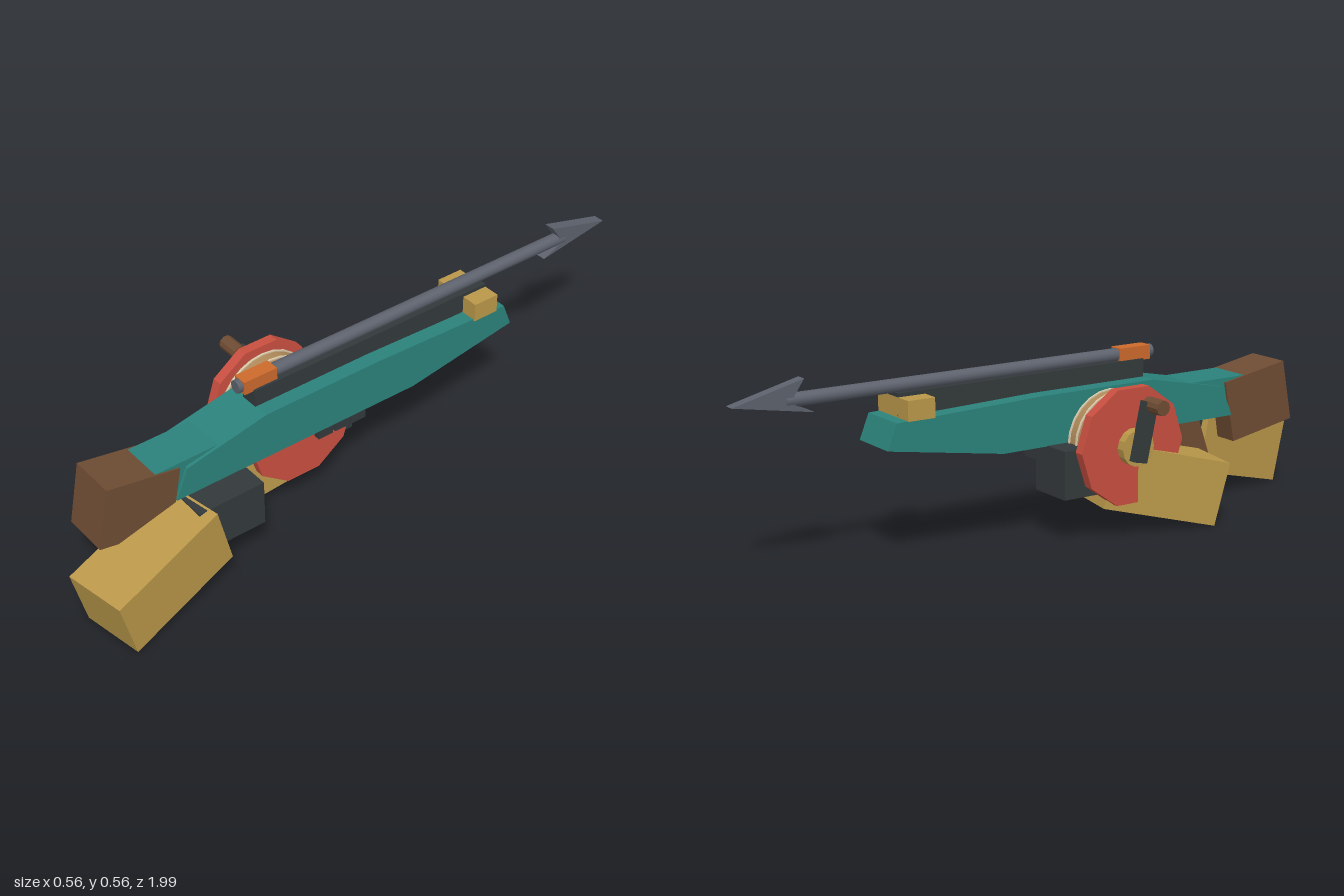
import * as THREE from 'three';

const mat = (name, color) => {
  const m = new THREE.MeshStandardMaterial({ color, flatShading: true });
  m.name = name;
  return m;
};

export function createModel() {
  const teal = mat('teal', 0x2b827b), brown = mat('brown', 0x6e4c33), gold = mat('gold', 0xba984a);
  const dark = mat('charcoal', 0x33393b), red = mat('red', 0xc94f40), tan = mat('rope tan', 0xb08a5a);
  const cream = mat('cream', 0xdccbac), steel = mat('steel', 0x5c616c), orange = mat('orange', 0xcc6a2c);
  const smoothTan = tan, root = new THREE.Group();
  smoothTan.flatShading = steel.flatShading = cream.flatShading = false;

  const add = (name, geo, m) => {
    const mesh = new THREE.Mesh(geo, m);
    mesh.name = name;
    root.add(mesh);
    return mesh;
  };
  // Box from its limits on each axis
  const box = (name, m, x0, x1, y0, y1, z0, z1) =>
    add(name, new THREE.BoxGeometry(x1 - x0, y1 - y0, z1 - z0)
      .translate((x0 + x1) / 2, (y0 + y1) / 2, (z0 + z1) / 2), m);
  // Side profile of [z, y] points, extruded across x
  const slab = (name, m, x0, x1, pts) => {
    const shape = new THREE.Shape(pts.map(p => new THREE.Vector2(...p)));
    const geo = new THREE.ExtrudeGeometry(shape, { depth: x1 - x0, bevelEnabled: false });
    return add(name, geo.rotateY(-Math.PI / 2).translate(x1, 0, 0), m);
  };
  // Disc or rod lying along x
  const disc = (name, m, r, x0, x1, y, z, sides) =>
    add(name, new THREE.CylinderGeometry(r, r, x1 - x0, sides)
      .rotateZ(Math.PI / 2).translate((x0 + x1) / 2, y, z), m);

  // Body, neck, stock and grip
  slab('body', teal, -0.06, 0.1, [[0.65, 0.285], [0.61, 0.38], [0.34, 0.435], [-0.055, 0.435],
    [-0.54, 0.42], [-0.57, 0.345], [-0.19, 0.283]]);
  box('neck', teal, -0.045, 0.09, 0.3, 0.402, 0.42, 0.75);
  slab('stock', brown, -0.052, 0.095, [[0.863, 0.43], [0.63, 0.388], [0.667, 0.197], [0.9, 0.24]]);
  slab('grip', brown, -0.036, 0.052, [[0.61, 0.085], [0.53, 0.31], [0.4, 0.31], [0.49, 0.04]]);

  // Rail and front sight block
  box('rail', dark, -0.007, 0.052, 0.425, 0.49, -0.505, 0.345);
  box('frontBlock', gold, -0.062, 0.106, 0.42, 0.479, -0.505, -0.418);

  // Harpoon
  add('harpoonShaft', new THREE.CylinderGeometry(0.02, 0.02, 1.23, 16)
    .rotateX(Math.PI / 2).translate(0.022, 0.507, -0.225), steel);
  slab('harpoonHead', steel, 0.005, 0.04, [[-1, 0.51], [-0.785, 0.565], [-0.815, 0.522],
    [-0.815, 0.495], [-0.755, 0.468]]);
  box('harpoonCollar', orange, 0, 0.045, 0.485, 0.528, 0.263, 0.375);

  // Reel
  const ry = 0.278, rz = 0.18;
  disc('reelOuterFlange', red, 0.182, -0.18, -0.148, ry, rz, 10);
  disc('reelInnerFlange', red, 0.182, 0.02, 0.05, ry, rz, 10);
  disc('reelDrum', smoothTan, 0.149, -0.148, 0.02, ry, rz, 24);
  for (const x of [-0.14, -0.104, -0.068, -0.032, 0.004])
    disc('ropeRing', cream, 0.153, x - 0.003, x + 0.003, ry, rz, 24);

  // Crank
  disc('crankHub', gold, 0.056, -0.207, -0.18, ry, rz, 14);
  const arm = add('crankArm', new THREE.BoxGeometry(0.025, 0.18, 0.048), dark);
  arm.position.set(-0.218, 0.327, 0.19);
  arm.rotation.x = 0.22;
  disc('crankHandle', brown, 0.023, -0.281, -0.21, 0.406, 0.212, 10);

  // Forearms: sloping boxes placed by the centre of their elbow face
  const forearm = (name, x, z, yaw) => {
    const g = new THREE.BoxGeometry(0.198, 0.196, 0.383).translate(0, 0, -0.1915);
    const f = add(name, g, gold);
    f.rotation.set(0.256, yaw, 0, 'YXZ');
    f.position.set(x, 0.095, z);
  };
  forearm('leftForearm', 0.177, 0.953, 0.175);
  forearm('rightForearm', -0.132, 0.497, -0.175);

  // Hands
  box('leftHand', dark, 0.04, 0.185, 0.14, 0.285, 0.418, 0.635);
  box('rightHand', dark, -0.148, 0, 0.14, 0.285, -0.04, 0.17);
  for (const z of [-0.033, 0.027, 0.088])
    box('rightFinger', dark, -0.005, 0.072, 0.227, 0.285, z, z + 0.052);

  return root;
}
